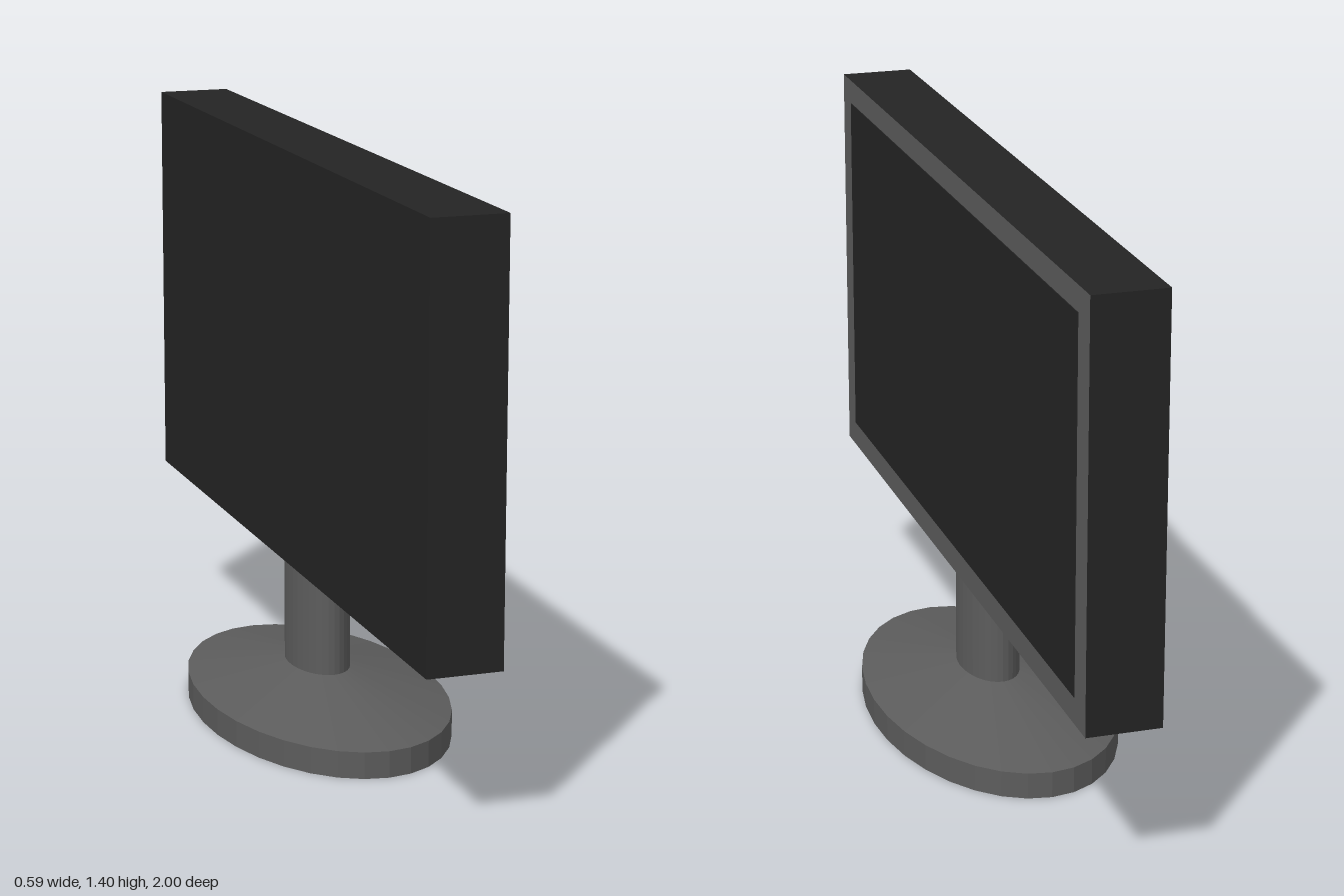
import * as THREE from 'three';

export function createModel() {
  const model = new THREE.Group();
  model.name = 'monitor';

  const casing = new THREE.MeshStandardMaterial({ color: 0x242424 });
  casing.name = 'black casing';
  const grey = new THREE.MeshStandardMaterial({ color: 0x5c5c5c, flatShading: true });
  grey.name = 'grey plastic';

  // Housing, with the bezel colour on its screen side (+x)
  const housing = new THREE.Mesh(
    new THREE.BoxGeometry(0.18, 1.01, 2),
    [grey, casing, casing, casing, casing, casing]
  );
  housing.name = 'housing';
  housing.position.set(0, 0.9, 0);
  model.add(housing);

  // Screen panel, a thin plate lying on the bezel
  const screen = new THREE.Mesh(new THREE.BoxGeometry(0.004, 0.885, 1.85), casing);
  screen.name = 'screen';
  screen.position.set(0.09, 0.9025, 0);
  model.add(screen);

  // Oval stand: round parts squeezed along x
  const stand = new THREE.Group();
  stand.name = 'stand';
  stand.position.set(-0.002, 0, 0.018);
  stand.scale.x = 0.57;
  model.add(stand);

  const addRound = (name, bottomRadius, topRadius, y0, y1, open) => {
    const part = new THREE.Mesh(
      new THREE.CylinderGeometry(topRadius, bottomRadius, y1 - y0, 32, 1, open), grey);
    part.name = name;
    part.position.y = (y0 + y1) / 2;
    stand.add(part);
  };
  addRound('baseRim', 0.517, 0.517, 0, 0.065, false);
  addRound('baseSlope', 0.517, 0.128, 0.065, 0.13, true);
  addRound('neck', 0.128, 0.128, 0.13, 0.42, false);

  return model;
}
